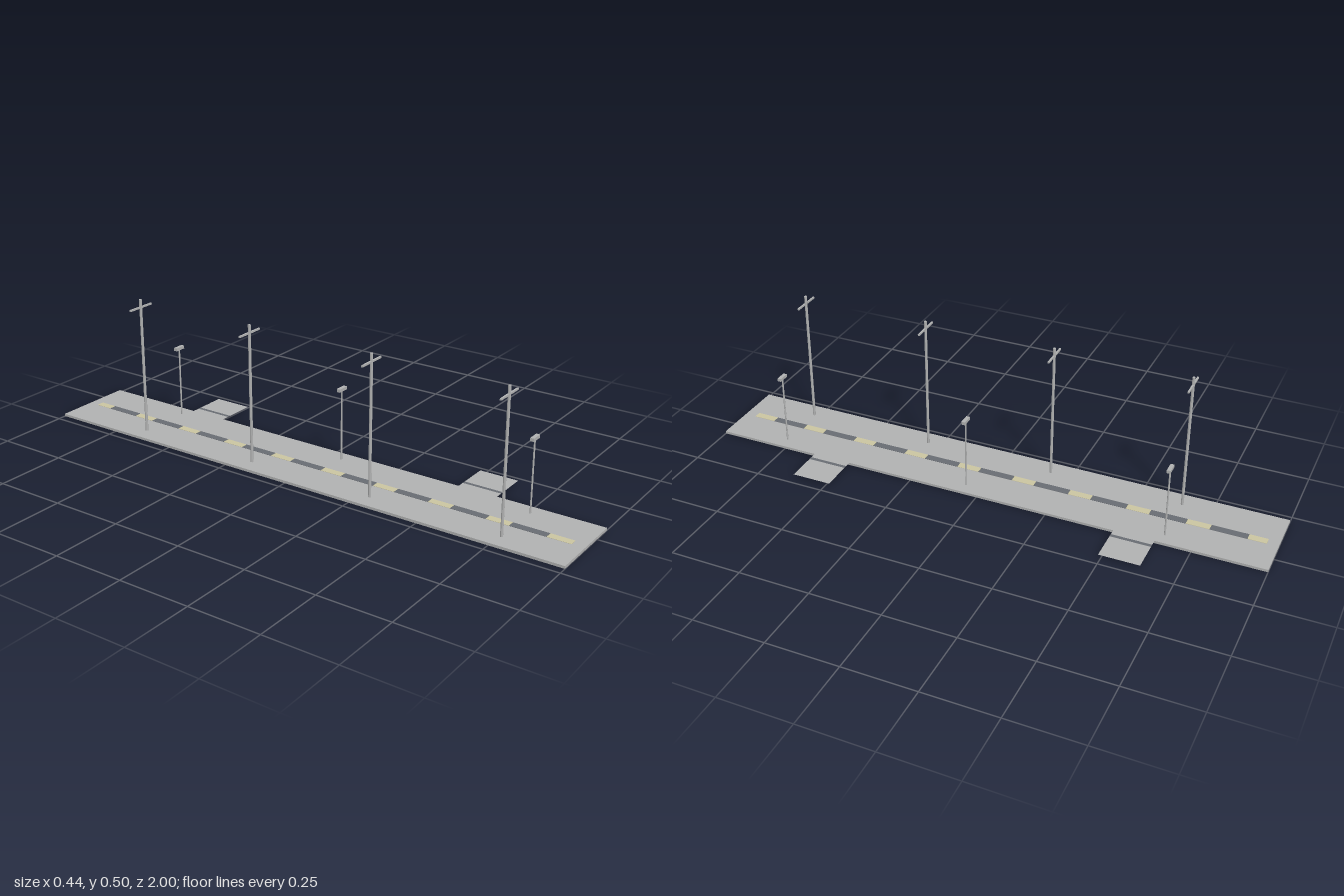
import * as THREE from 'three';

export function createModel() {
  const model = new THREE.Group();
  model.name = 'roadSection';

  const mat = (name, color, extra = {}) => {
    const m = new THREE.MeshStandardMaterial({ color, ...extra });
    m.name = name;
    return m;
  };
  const grey = mat('concreteGrey', 0xb0b1b1, { flatShading: true, side: THREE.DoubleSide });
  const dark = mat('darkAsphalt', 0x686c72);
  const cream = mat('creamPaint', 0xcac4a0);

  const add = (parent, name, geometry, material, x, y, z) => {
    const mesh = new THREE.Mesh(geometry, material);
    mesh.name = name;
    mesh.position.set(x, y, z);
    parent.add(mesh);
    return mesh;
  };
  const box = (parent, name, material, w, h, d, x, y, z) =>
    add(parent, name, new THREE.BoxGeometry(w, h, d), material, x, y, z);

  // Road slab
  const top = 0.009;
  box(model, 'roadSlab', grey, 0.292, top, 2, -0.074, top / 2, 0);

  // Centre line: dark dashes alternating with cream ones
  const line = new THREE.Group();
  line.name = 'centreLine';
  model.add(line);
  const pitch = 0.2062, darkLength = 0.126;
  const dash = (name, material, z0, z1) =>
    box(line, name, material, 0.027, 0.001, z1 - z0, -0.074, top + 0.0005, (z0 + z1) / 2);
  let start = -0.962;
  for (let i = 0; i < 9; i++) {
    const z = -0.836 + i * pitch;
    dash('creamDash', cream, start, z - darkLength / 2);
    dash('darkDash', dark, z - darkLength / 2, z + darkLength / 2);
    start = z + darkLength / 2;
  }
  dash('creamDash', cream, start, 0.958);

  // Side bays: flat sheets overlapping the road edge, with two strips
  for (const z of [-0.56, 0.556]) {
    const bay = new THREE.Group();
    bay.name = 'sideBay';
    bay.position.set(0.133, top + 0.0008, z);
    model.add(bay);
    const sheet = (name, material, w, x, y) => {
      const g = new THREE.PlaneGeometry(w, 0.14).rotateX(-Math.PI / 2);
      add(bay, name, g, material, x, y, 0);
    };
    sheet('bayFloor', grey, 0.166, 0, 0);
    sheet('innerStrip', dark, 0.013, -0.03, 0.0006);
    sheet('outerStrip', grey, 0.012, 0.036, 0.0006);
  }

  const post = (parent, radius, height) =>
    add(parent, 'post', new THREE.CylinderGeometry(radius, radius, height, 8), grey, 0, height / 2, 0);

  // Tall utility poles with crossarms
  for (const z of [-0.65, -0.178, 0.294, 0.765]) {
    const pole = new THREE.Group();
    pole.name = 'utilityPole';
    pole.position.set(-0.162, top, z);
    model.add(pole);
    post(pole, 0.005, 0.486);
    box(pole, 'crossarm', grey, 0.106, 0.006, 0.006, 0, 0.458, 0);
  }

  // Street lamps
  for (const z of [-0.65, 0.057, 0.765]) {
    const lamp = new THREE.Group();
    lamp.name = 'streetLamp';
    lamp.position.set(0.027, top, z);
    model.add(lamp);
    post(lamp, 0.003, 0.25);
    box(lamp, 'lampHead', grey, 0.04, 0.011, 0.013, 0, 0.2545, 0);
  }

  return model;
}
